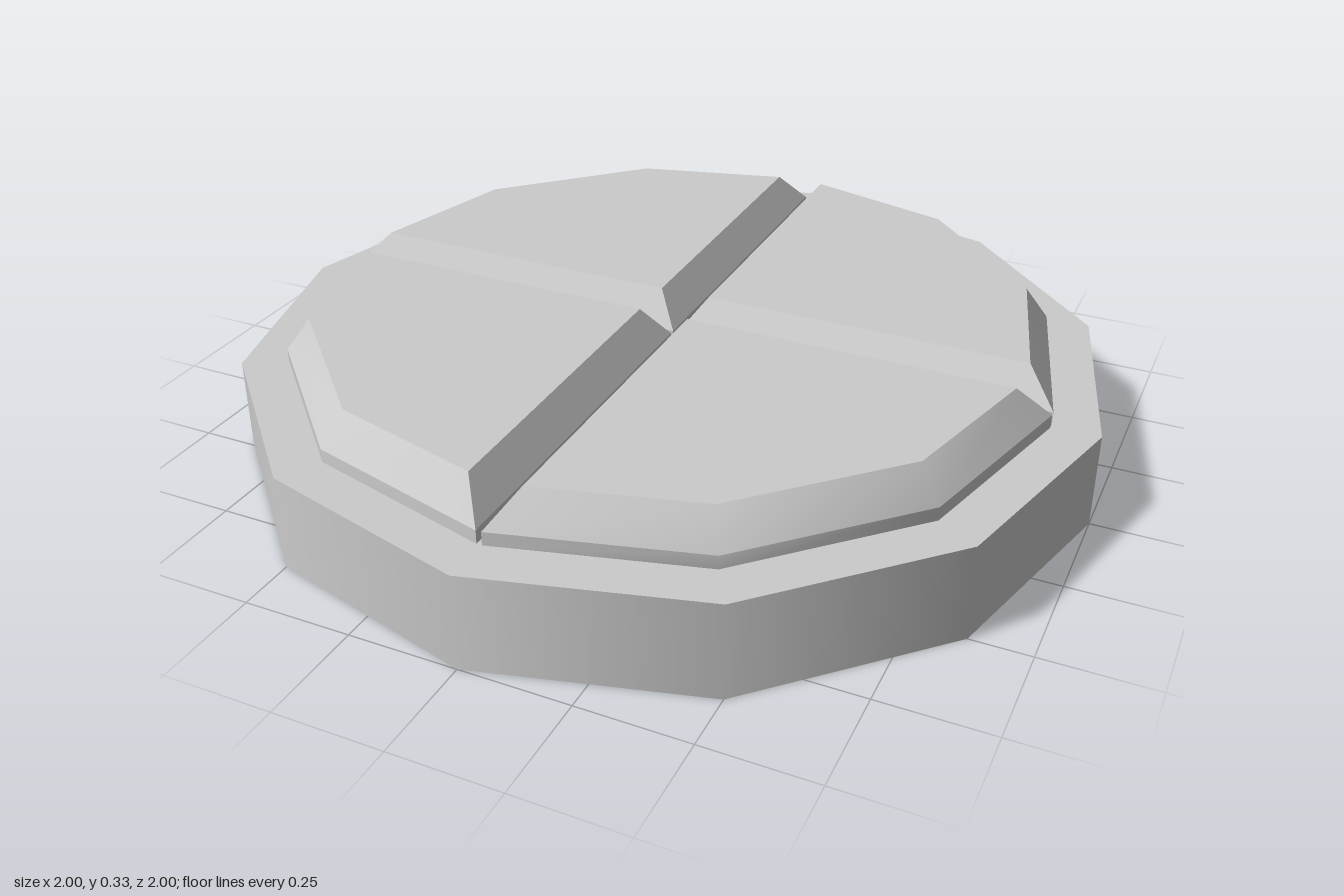
import * as THREE from 'three';
import { toCreasedNormals } from 'three/addons/utils/BufferGeometryUtils.js';

// Outline of a quarter of a twelve-sided disc, kept a gap away from both axes
function quarterRing(radius, gap, y) {
  const end = radius - gap * Math.tan(Math.PI / 12);
  const c = radius * Math.cos(Math.PI / 6), s = radius / 2;
  return [[gap, gap], [end, gap], [c, s], [s, c], [gap, end]].map(([x, z]) => [x, y, z]);
}

// Straight wall, bevel and flat top, joined ring by ring
function quarterGeometry() {
  const rings = [
    quarterRing(0.893, 0.006, 0.22),
    quarterRing(0.893, 0.006, 0.253),
    quarterRing(0.836, 0.06, 0.33),
  ];
  const n = 5, index = [];
  for (let r = 0; r < rings.length - 1; r++) {
    for (let i = 0; i < n; i++) {
      const a = r * n + i, b = r * n + (i + 1) % n;
      index.push(a, a + n, b, b, a + n, b + n);
    }
  }
  const top = (rings.length - 1) * n;
  for (let i = 1; i < n - 1; i++) {
    index.push(top, top + i + 1, top + i);
    index.push(0, i, i + 1);
  }
  const geometry = new THREE.BufferGeometry();
  geometry.setAttribute('position', new THREE.Float32BufferAttribute(rings.flat(2), 3));
  geometry.setIndex(index);
  return toCreasedNormals(geometry, THREE.MathUtils.degToRad(35));
}

export function createModel() {
  const model = new THREE.Group();
  const material = new THREE.MeshStandardMaterial({ color: 0xcccccc });

  // Twelve-sided base with smooth-shaded rim
  const base = new THREE.Mesh(new THREE.CylinderGeometry(1, 1, 0.222, 12), material);
  base.name = 'base';
  base.position.y = 0.111;
  model.add(base);

  // Four bevelled quarters separated by a cross-shaped groove
  const geometry = quarterGeometry();
  for (let i = 0; i < 4; i++) {
    const quarter = new THREE.Mesh(geometry, material);
    quarter.name = `raisedQuarter${i + 1}`;
    quarter.rotation.y = i * Math.PI / 2;
    model.add(quarter);
  }
  return model;
}
